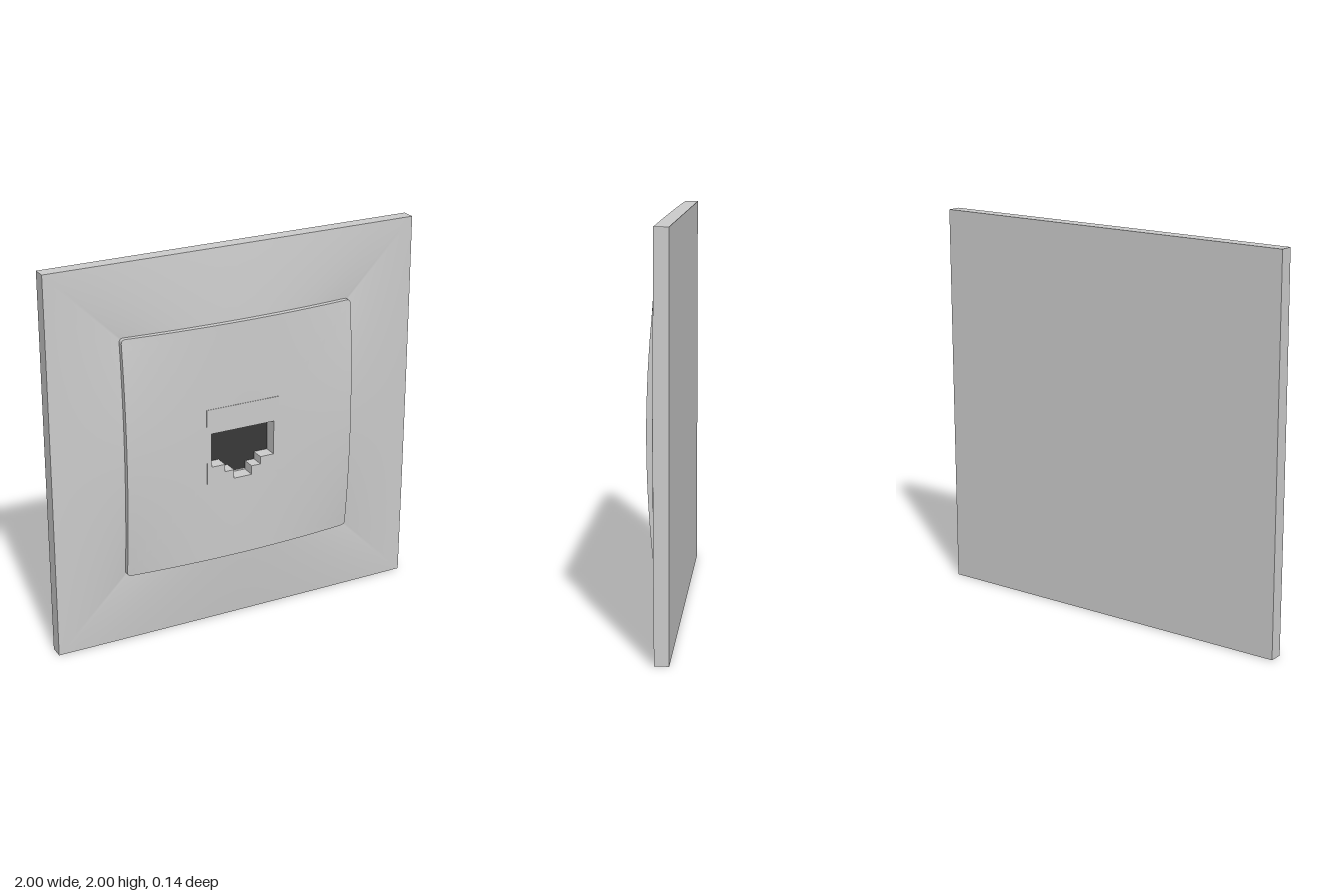
import * as THREE from 'three';

const CY = 1;          // height of the centre
const PANEL = 0.63;    // half size of the raised panel
const SOCKET = 0.2;    // half size of the socket insert

// Positions along one side, denser near the corners
const SIDE = [-1, -0.99, -0.98, -0.967];
for (let i = 1; i < 16; i++) SIDE.push(-0.967 + (i / 16) * 1.934);
SIDE.push(0.967, 0.98, 0.99);

// Counter-clockwise outline of a square, with optional corner radius
function squareLoop(half, radius = 0) {
  const loop = [];
  for (let s = 0; s < 4; s++) {
    for (const w of SIDE) {
      let [x, y] = [[1, w], [-w, 1], [-1, -w], [w, -1]][s].map(v => v * half);
      if (radius > 0) {
        const m = half - radius;
        const cx = THREE.MathUtils.clamp(x, -m, m);
        const cy = THREE.MathUtils.clamp(y, -m, m);
        const d = Math.hypot(x - cx, y - cy);
        x = cx + (x - cx) * radius / d;
        y = cy + (y - cy) * radius / d;
      }
      loop.push([x, y]);
    }
  }
  return loop;
}

// Skin joining consecutive closed loops of [x, y, z]
function loft(rings) {
  const n = rings[0].length;
  const index = [];
  for (let k = 0; k < rings.length - 1; k++) {
    for (let i = 0; i < n; i++) {
      const j = (i + 1) % n;
      const a = k * n + i, b = a + n, c = (k + 1) * n + j, d = k * n + j;
      index.push(a, b, c, a, c, d);
    }
  }
  const geometry = new THREE.BufferGeometry();
  geometry.setAttribute('position', new THREE.Float32BufferAttribute(rings.flat(2), 3));
  geometry.setIndex(index);
  geometry.computeVertexNormals();
  return geometry;
}

// Cushion surface of the panel: high along both axes, low in the corners
function panelZ(x, y) {
  const u = (x / PANEL) ** 2, v = (y / PANEL) ** 2;
  return 0.071 - 0.004 * (u + v) - 0.03 * u * v;
}

// Frame surface: nearly flat at the rim, bulging toward the panel
function frameZ(x, y) {
  const s = Math.max(Math.abs(x), Math.abs(y));
  const w = Math.min(Math.abs(x), Math.abs(y)) / s;
  const t = (1 - s) / (1 - PANEL);
  const rise = t * (1.15 - 0.15 * t);
  return 0.008 * rise + (0.004 + 0.026 * rise) * (1 - w * w);
}

export function createModel() {
  const group = new THREE.Group();
  const grey = new THREE.MeshStandardMaterial({ color: 0xcccccc });
  const dark = new THREE.MeshStandardMaterial({ color: 0x383838 });

  function add(name, geometry, material = grey, y = CY, z = 0) {
    const mesh = new THREE.Mesh(geometry, material);
    mesh.name = name;
    mesh.position.set(0, y, z);
    group.add(mesh);
  }

  // Back plate
  add('backPlate', new THREE.BoxGeometry(2, 2, 0.07), grey, CY, -0.035);

  // Bulged frame and its thin rim
  const frameRings = [];
  for (let k = 0; k <= 10; k++) {
    frameRings.push(squareLoop(0.58 + 0.042 * k).map(([x, y]) => [x, y, frameZ(x, y)]));
  }
  add('frame', loft(frameRings));
  const rim = squareLoop(1);
  add('frameRim', loft([
    rim.map(([x, y]) => [x, y, frameZ(x, y)]),
    rim.map(([x, y]) => [x, y, 0]),
  ]));

  // Raised panel face, from the socket opening to the rounded outline
  const inner = squareLoop(SOCKET);
  const outer = squareLoop(PANEL, 0.02);
  const panelRings = [];
  for (let k = 0; k <= 12; k++) {
    const t = k / 12;
    panelRings.push(inner.map(([x, y], i) => {
      const px = x + (outer[i][0] - x) * t, py = y + (outer[i][1] - y) * t;
      return [px, py, panelZ(px, py)];
    }));
  }
  add('panelFace', loft(panelRings));

  // Panel side wall
  add('panelEdge', loft([0, 0.036].map(drop =>
    outer.map(([x, y]) => [x, y, panelZ(x, y) - drop]))));

  // Socket insert with a stepped opening
  const insert = new THREE.Shape();
  insert.moveTo(-SOCKET, -SOCKET);
  insert.lineTo(SOCKET, -SOCKET);
  insert.lineTo(SOCKET, SOCKET);
  insert.lineTo(-SOCKET, SOCKET);
  insert.closePath();
  const half = [[0.05, -0.197], [0.05, -0.15], [0.1, -0.15], [0.1, -0.11], [0.175, -0.11], [0.175, 0.07]];
  const outline = [...half, ...half.map(([x, y]) => [-x, y]).reverse()];
  insert.holes.push(new THREE.Path(outline.map(([x, y]) => new THREE.Vector2(x, y))));
  add('socketInsert', new THREE.ExtrudeGeometry(insert, { depth: 0.073, bevelEnabled: false }));

  // Dark floor of the socket
  add('socketFloor', new THREE.PlaneGeometry(0.38, 0.38), dark, CY, 0.002);

  return group;
}
